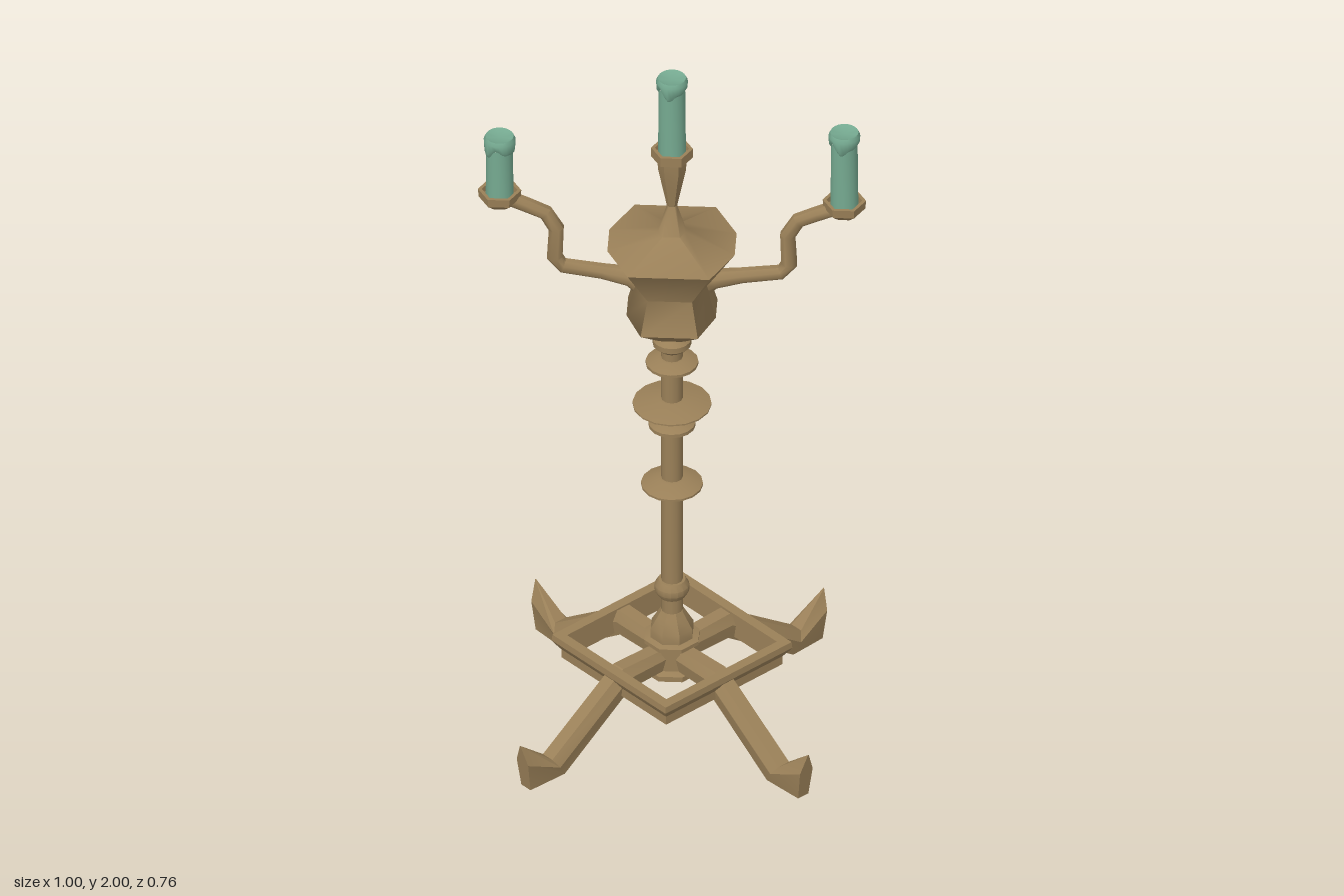
import * as THREE from 'three';
import { toCreasedNormals } from 'three/addons/utils/BufferGeometryUtils.js';

const bronze = new THREE.MeshStandardMaterial({ color: 0x9a8058 });
bronze.name = 'bronze';
const wax = new THREE.MeshStandardMaterial({ color: 0x75a990 });
wax.name = 'greenWax';

function part(name, geometry, material, parent, crease = 0.6) {
  const mesh = new THREE.Mesh(toCreasedNormals(geometry, crease), material);
  mesh.name = name;
  parent.add(mesh);
  return mesh;
}

// Profile of [radius, y] turned around the y axis
function turned(profile, sides, start = 0) {
  return new THREE.LatheGeometry(profile.map(([r, y]) => new THREE.Vector2(r, y)), sides, start);
}

// Skin over rings of points that run counter-clockwise about the direction of travel
function loft(rings) {
  const n = rings[0].length;
  const positions = rings.flat(2);
  const index = [];
  for (let i = 0; i < rings.length - 1; i++) {
    for (let j = 0; j < n; j++) {
      const a = i * n + j, b = i * n + (j + 1) % n;
      index.push(a, b, b + n, a, b + n, a + n);
    }
  }
  const last = (rings.length - 1) * n;
  for (let j = 1; j < n - 1; j++) {
    index.push(0, j + 1, j, last, last + j, last + j + 1);
  }
  const g = new THREE.BufferGeometry();
  g.setAttribute('position', new THREE.Float32BufferAttribute(positions, 3));
  g.setIndex(index);
  return g;
}

// Leg running out along +x: ridged bar, knee, and a pointed upturned toe
function legGeometry() {
  const stations = [ // top x, top y, bottom x, bottom y, top half width, bottom half width
    [0.03, 0.225, 0.03, 0.165, 0.018, 0.03],
    [0.185, 0.23, 0.17, 0.165, 0.018, 0.034],
    [0.43, 0.06, 0.395, 0.005, 0.018, 0.034],
    [0.525, 0.14, 0.505, 0, 0.001, 0.022],
  ];
  return loft(stations.map(([tx, ty, bx, by, wt, wb]) => {
    const at = (t, z) => [bx + (tx - bx) * t, by + (ty - by) * t, z];
    const mid = Math.max(wt, wb);
    return [at(1, -wt), at(1, wt), at(0.6, mid), at(0, wb * 0.8), at(0, -wb * 0.8), at(0.6, -mid)];
  }));
}

// Arm swept along an S path in the xy plane, thick where it leaves the body
function armGeometry() {
  const path = [ // x, y, radius
    [0.06, 1.355, 0.055], [0.11, 1.37, 0.027], [0.18, 1.383, 0.021], [0.28, 1.397, 0.02],
    [0.302, 1.425, 0.022], [0.298, 1.515, 0.021], [0.325, 1.562, 0.02],
    [0.375, 1.585, 0.02], [0.415, 1.602, 0.02],
  ];
  return loft(path.map(([x, y, r], i) => {
    const p = path[Math.max(i - 1, 0)], q = path[Math.min(i + 1, path.length - 1)];
    const d = new THREE.Vector2(q[0] - p[0], q[1] - p[1]).normalize();
    return Array.from({ length: 8 }, (_, k) => {
      const a = (k + 0.5) * Math.PI / 4, c = Math.cos(a) * r;
      return [x - d.y * c, y + d.x * c, Math.sin(a) * Math.min(r, 0.032)];
    });
  }));
}

// Bulb with an uneven eight-sided section, pinched at its waist
function bodyGeometry() {
  const section = [[0.64, 1], [1, 0.3], [1, -0.3], [0.64, -1], [-0.64, -1], [-1, -0.3], [-1, 0.3], [-0.64, 1]];
  const levels = [ // y, half width, half depth
    [1.195, 0.04, 0.04], [1.215, 0.06, 0.065], [1.275, 0.115, 0.137], [1.37, 0.09, 0.11],
    [1.48, 0.164, 0.162], [1.52, 0.035, 0.035], [1.6, 0.012, 0.012],
  ];
  return loft(levels.map(([y, w, d]) => section.map(([x, z]) => [x * w, y, z * d])));
}

// Candle with a wavy skirt of melted wax round its top
function candle(height, parent) {
  const g = new THREE.Group();
  g.name = 'candle';
  part('candleStick', turned([[0, 0], [0.036, 0], [0.034, height - 0.03]], 16), wax, g);
  const top = turned([
    [0.034, height - 0.042], [0.04, height - 0.032], [0.041, height - 0.01], [0.036, height],
    [0.028, height - 0.003], [0, height - 0.006],
  ], 24);
  const p = top.attributes.position;
  for (let i = 0; i < p.count; i++) {
    if (p.getY(i) > height - 0.025) continue;
    const a = Math.atan2(p.getZ(i), p.getX(i));
    p.setY(i, p.getY(i) + 0.01 * Math.sin(3 * a) + 0.006 * Math.cos(5 * a));
  }
  part('meltedWax', top, wax, g, 0.9);
  parent.add(g);
  return g;
}

export function createModel() {
  const model = new THREE.Group();
  model.name = 'candelabra';

  // Base: diamond frame, four legs and the stepped collar
  part('baseFrame', turned([
    [0.268, 0.16], [0.285, 0.16], [0.285, 0.185], [0.3, 0.2], [0.31, 0.212],
    [0.308, 0.23], [0.27, 0.23], [0.268, 0.16],
  ], 4), bronze, model);
  for (let i = 0; i < 4; i++) {
    part('leg', legGeometry(), bronze, model, 0.4).rotation.y = Math.PI / 4 + i * Math.PI / 2;
  }
  part('collar', turned([
    [0, 0.145], [0.08, 0.145], [0.08, 0.16], [0.06, 0.165], [0.06, 0.228], [0.075, 0.232],
    [0.075, 0.243], [0.058, 0.247], [0.058, 0.275], [0.038, 0.31], [0.03, 0.325], [0, 0.325],
  ], 8, Math.PI / 8), bronze, model);

  // Column and its rings
  part('column', turned([[0.028, 0.31], [0.028, 1.21]], 12), bronze, model);
  const rings = [ // y, radius, half height, rim half height
    [0.395, 0.045, 0.025, 0.008], [0.72, 0.08, 0.022, 0.003], [0.91, 0.061, 0.02, 0.005],
    [0.973, 0.102, 0.018, 0.002], [1.103, 0.068, 0.018, 0.004], [1.17, 0.05, 0.022, 0.008],
  ];
  for (const [y, r, h, rim] of rings) {
    part('columnRing', turned([
      [0.026, y - h], [0.035, y - h], [r, y - rim], [r, y + rim], [0.035, y + h], [0.026, y + h],
    ], 16), bronze, model);
  }

  // Body, neck and centre candle
  part('body', bodyGeometry(), bronze, model, 1.1);
  part('centreHolder', turned([
    [0.012, 1.59], [0.024, 1.65], [0.036, 1.71], [0.038, 1.742], [0.054, 1.75],
    [0.054, 1.777], [0.044, 1.777], [0.042, 1.765], [0, 1.765],
  ], 6, Math.PI / 6), bronze, model);
  candle(0.235, model).position.y = 1.765;

  // Two side arms, each with a six-sided cup and a candle
  for (const [name, turn, height] of [['leftArm', 0, 0.23], ['rightArm', Math.PI, 0.185]]) {
    const arm = new THREE.Group();
    arm.name = name;
    arm.rotation.y = turn;
    part('armBar', armGeometry(), bronze, arm, 0.9);
    part('cup', turned([
      [0, 1.582], [0.028, 1.584], [0.054, 1.606], [0.056, 1.63], [0.046, 1.63], [0.044, 1.615], [0, 1.615],
    ], 6, Math.PI / 6), bronze, arm).position.x = 0.444;
    candle(height, arm).position.set(0.444, 1.615, 0);
    model.add(arm);
  }
  return model;
}
